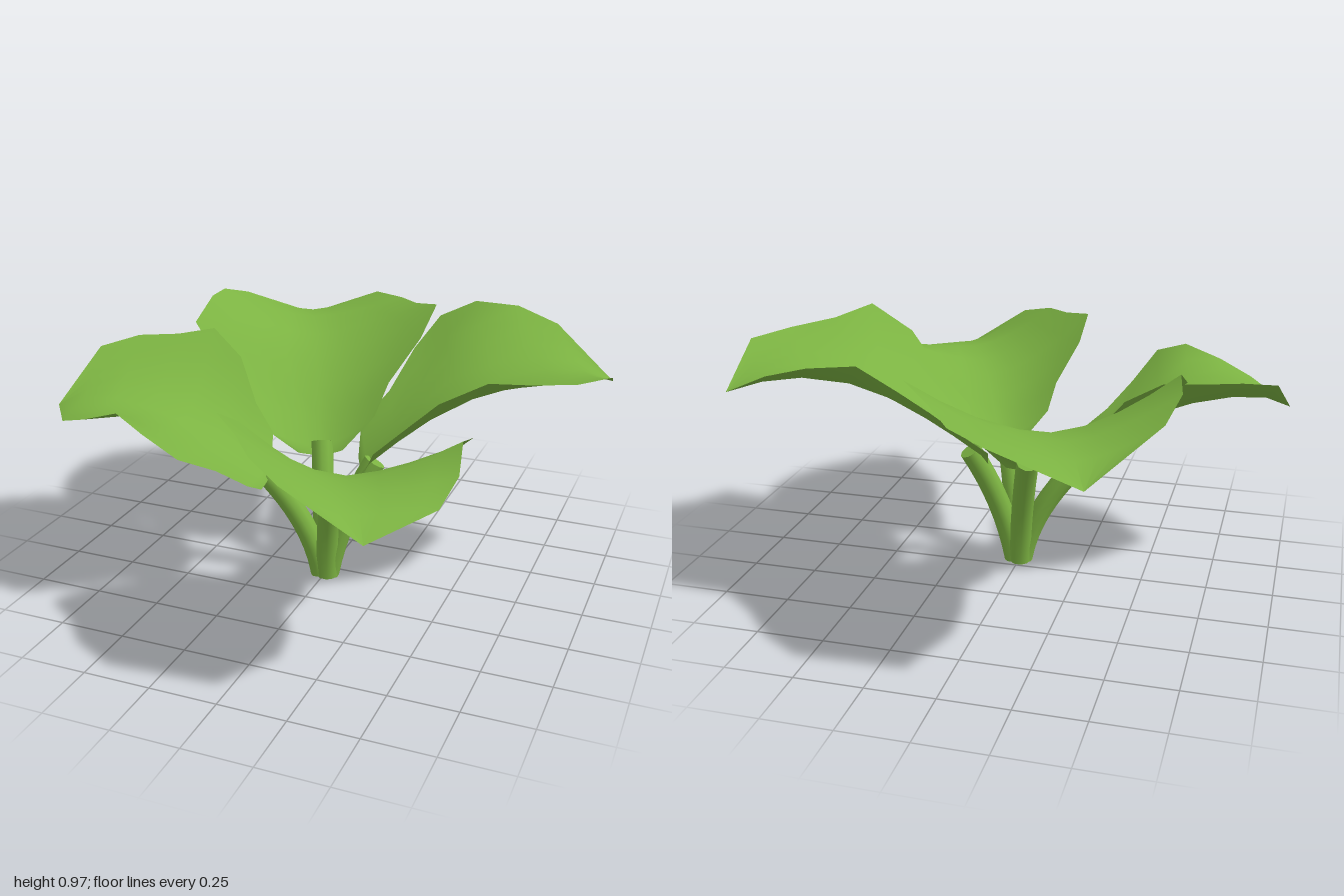
import * as THREE from 'three';

const green = new THREE.MeshStandardMaterial({ color: 0x7cb342, side: THREE.DoubleSide });
green.name = 'leaf green';

// Leaf outline: distance along the spine, half width, forward skew of the left rim
const OUTLINE = [
  [0.015, 0.075, 0], [0.035, 0.185, 0], [0.125, 0.238, -0.01], [0.22, 0.355, -0.015], [0.333, 0.424, 0],
  [0.455, 0.367, 0.01], [0.6, 0.33, 0.015], [0.725, 0.248, 0.022], [0.83, 0, 0],
];
// Heights at each outline station: spine, left rim, right rim
const LARGE = [
  [0.0, 0.015, 0.01], [0.025, 0.13, 0.09], [0.1, 0.22, 0.18], [0.175, 0.35, 0.29], [0.245, 0.432, 0.38],
  [0.29, 0.4, 0.443], [0.315, 0.38, 0.43], [0.305, 0.367, 0.385], [0.263, 0.263, 0.263],
];
const SMALL = [
  [0.0, 0.015, 0.005], [0.03, 0.13, 0.065], [0.09, 0.22, 0.135], [0.145, 0.36, 0.215], [0.205, 0.445, 0.325],
  [0.245, 0.425, 0.365], [0.268, 0.415, 0.31], [0.26, 0.38, 0.258], [0.215, 0.215, 0.215],
];
const COLS = 8;

// Cupped leaf growing along +x; pitch tilts the tip up or down
function leafGeometry(heights, pitch) {
  const pos = [], index = [];
  OUTLINE.forEach(([u, w, skew], i) => {
    const [spine, left, right] = heights[i];
    for (let j = 0; j <= COLS; j++) {
      const s = (j / COLS) * 2 - 1;
      const rim = s > 0 ? left : right;
      const y = spine + (rim - spine) * Math.pow(Math.abs(s), 1.6) + pitch * u;
      pos.push(u + skew * s, y, s * w);
      if (i < OUTLINE.length - 1 && j < COLS) {
        const a = i * (COLS + 1) + j, c = a + COLS + 1;
        index.push(a, a + 1, c);
        // The last strip closes to a point
        if (i < OUTLINE.length - 2) index.push(a + 1, c + 1, c);
      }
    }
  });
  const geo = new THREE.BufferGeometry();
  geo.setAttribute('position', new THREE.Float32BufferAttribute(pos, 3));
  geo.setIndex(index);
  geo.computeVertexNormals();
  return geo;
}

// Bent round stem with flat ends
const STEM_RADIUS = 0.043;
function stem(foot, bend, top) {
  const group = new THREE.Group();
  const curve = new THREE.QuadraticBezierCurve3(
    new THREE.Vector3(...foot), new THREE.Vector3(...bend), new THREE.Vector3(...top));
  const tube = new THREE.Mesh(new THREE.TubeGeometry(curve, 8, STEM_RADIUS, 10), green);
  tube.name = 'stemTube';
  group.add(tube);
  for (const t of [0, 1]) {
    const cap = new THREE.Mesh(new THREE.CircleGeometry(STEM_RADIUS, 10), green);
    const dir = curve.getTangent(t).multiplyScalar(t ? 1 : -1);
    cap.quaternion.setFromUnitVectors(new THREE.Vector3(0, 0, 1), dir);
    cap.position.copy(curve.getPoint(t));
    cap.name = 'stemEnd';
    group.add(cap);
  }
  return group;
}

const STALKS = [
  { name: 'back', base: [-0.064, 0.44, -0.064], dir: [-0.41, -0.91], size: 1.145, heights: LARGE, pitch: 0,
    foot: [-0.005, 0.006, 0.045], bend: [-0.02, 0.25, 0.01], top: [-0.075, 0.485, -0.11] },
  { name: 'left', base: [0.107, 0.44, 0.0], dir: [0.9, -0.437], size: 1.16, heights: LARGE, pitch: 0.025,
    foot: [0.015, 0.006, 0.055], bend: [0.06, 0.25, 0.05], top: [0.175, 0.475, -0.02] },
  { name: 'front', base: [0.09, 0.43, 0.153], dir: [0.45, 0.893], size: 1.01, heights: SMALL, pitch: -0.033,
    foot: [0.015, 0.006, 0.065], bend: [0.02, 0.24, 0.08], top: [0.075, 0.435, 0.17] },
  { name: 'right', base: [-0.18, 0.4, 0.155], dir: [-0.986, 0.165], size: 1, heights: SMALL, pitch: 0.045,
    foot: [-0.01, 0.006, 0.06], bend: [-0.045, 0.21, 0.06], top: [-0.222, 0.41, 0.1] },
];

export function createModel() {
  const model = new THREE.Group();
  model.name = 'leafyPlant';
  for (const p of STALKS) {
    const leaf = new THREE.Mesh(leafGeometry(p.heights, p.pitch), green);
    leaf.name = p.name + 'Leaf';
    leaf.position.set(...p.base);
    leaf.rotation.y = Math.atan2(-p.dir[1], p.dir[0]);
    leaf.scale.setScalar(p.size);
    const stalk = stem(p.foot, p.bend, p.top);
    stalk.name = p.name + 'Stem';
    model.add(leaf, stalk);
  }
  return model;
}
